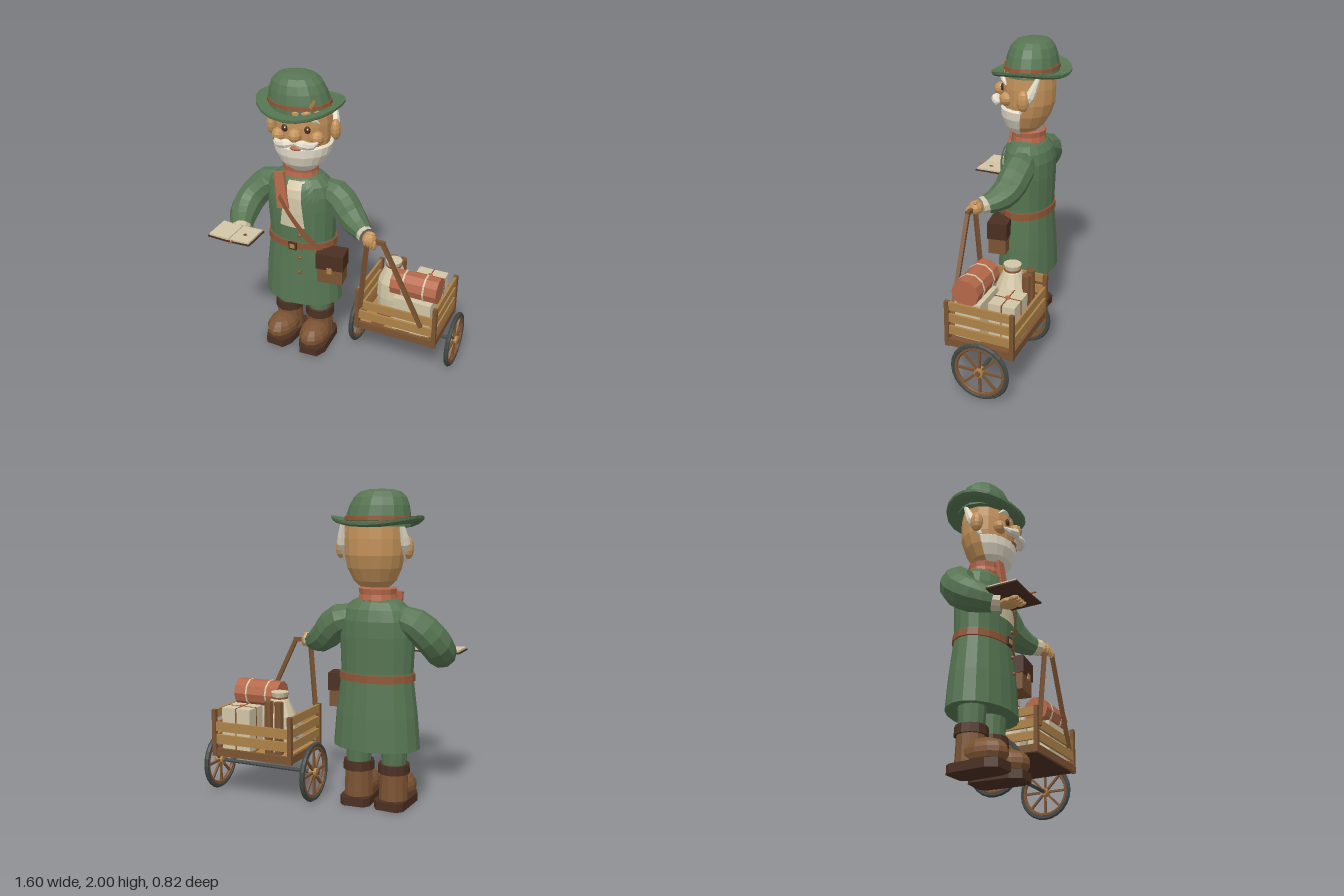
import * as THREE from 'three';

const mat = (name, color) => Object.assign(new THREE.MeshStandardMaterial({ color }), { name });
const M = {
  green: mat('coat green', 0x567552), terra: mat('terracotta', 0xb5684a), cream: mat('cream cloth', 0xd2c6a6),
  white: mat('white hair', 0xe4ddca), skin: mat('skin', 0xc4925a), wood: mat('light wood', 0xae8349),
  brown: mat('brown leather', 0x7b5332), dark: mat('dark brown', 0x4b2f22), iron: mat('iron', 0x414845),
  belt: mat('belt brown', 0x8d5535),
};
const V = (a) => new THREE.Vector3(...a);

// Faceted mesh added to a parent
function add(parent, name, geo, m, pos = [0, 0, 0], rot = [0, 0, 0], scale = [1, 1, 1]) {
  const g = geo.index ? geo.toNonIndexed() : geo;
  g.computeVertexNormals();
  const mesh = new THREE.Mesh(g, m);
  mesh.name = name;
  mesh.position.set(...pos); mesh.rotation.set(...rot); mesh.scale.set(...scale);
  parent.add(mesh);
  return mesh;
}
function group(parent, name, pos = [0, 0, 0], rot = [0, 0, 0]) {
  const g = new THREE.Group();
  g.name = name; g.position.set(...pos); g.rotation.set(...rot);
  parent.add(g);
  return g;
}
const box = (w, h, d) => new THREE.BoxGeometry(w, h, d);
const cyl = (r1, r2, h, n = 12) => new THREE.CylinderGeometry(r1, r2, h, n);
const ball = (r, n = 10) => new THREE.SphereGeometry(r, n, Math.max(6, n - 3));
const lathe = (pts, n = 16, start = 0, len = Math.PI * 2) =>
  new THREE.LatheGeometry(pts.map((p) => new THREE.Vector2(...p)), n, start, len);
function bend(geo, rule) {
  const p = geo.attributes.position, v = new THREE.Vector3();
  for (let i = 0; i < p.count; i++) { rule(v.fromBufferAttribute(p, i), i); p.setXYZ(i, v.x, v.y, v.z); }
  return geo;
}
// Tube along points with a radius that varies evenly through the list
function limb(pts, radii, sides = 10, segs = 8) {
  const curve = new THREE.CatmullRomCurve3(pts.map(V));
  return bend(new THREE.TubeGeometry(curve, segs, 1, sides), (v, i) => {
    const u = Math.floor(i / (sides + 1)) / segs, f = u * (radii.length - 1), k = Math.min(Math.floor(f), radii.length - 2);
    const c = curve.getPointAt(u);
    v.sub(c).multiplyScalar(radii[k] + (radii[k + 1] - radii[k]) * (f - k)).add(c);
  });
}
// Square bar between two points
function bar(parent, name, a, b, w, m) {
  const d = V(b).sub(V(a)), mesh = add(parent, name, box(w, d.length(), w), m);
  mesh.position.copy(V(a).addScaledVector(d, 0.5));
  mesh.quaternion.setFromUnitVectors(new THREE.Vector3(0, 1, 0), d.normalize());
}

// Coat outline: half width and height
const COAT = [[0.285, 0.39], [0.268, 0.6], [0.24, 0.82], [0.236, 0.88], [0.245, 1.1], [0.24, 1.2], [0.215, 1.27], [0.165, 1.315], [0.1, 1.345]];
const DEPTH = 0.69;
function coatZ(x, y, off) {
  let k = 0;
  while (k < COAT.length - 2 && COAT[k + 1][1] < y) k++;
  const [r0, y0] = COAT[k], [r1, y1] = COAT[k + 1], r = r0 + (r1 - r0) * (y - y0) / (y1 - y0);
  return DEPTH * Math.sqrt(Math.max(0, r * r - x * x)) + off;
}
// Thin four-cornered patch laid on the front of the coat, corners anticlockwise
function patch(c, off, n = 6) {
  const g = new THREE.PlaneGeometry(1, 1, n, n);
  return bend(g, (v) => {
    const u = v.x + 0.5, t = v.y + 0.5;
    const mix = (i) => (c[0][i] * (1 - u) + c[1][i] * u) * (1 - t) + (c[3][i] * (1 - u) + c[2][i] * u) * t;
    v.set(mix(0), mix(1), 0);
    v.z = coatZ(v.x, v.y, off);
  });
}

function buildBody(root) {
  const b = group(root, 'body', [-0.325, 0, -0.09]);
  add(b, 'coat', lathe([[0, 0.42], [0.26, 0.4], ...COAT, [0, 1.345]], 18), M.green, [0, 0, 0], [0, 0, 0], [1, 1, DEPTH]);
  add(b, 'belt', lathe([[0.235, 0.82], [0.25, 0.822], [0.247, 0.868], [0.23, 0.87]], 18), M.belt, [0, 0, 0], [0, 0, 0], [1, 1, DEPTH]);
  add(b, 'buckle', box(0.06, 0.055, 0.012), M.dark, [0.01, 0.845, 0.176]);
  add(b, 'bucklePlate', box(0.035, 0.03, 0.012), M.wood, [0.01, 0.845, 0.18]);
  add(b, 'shirt', patch([[-0.085, 0.985], [0.1, 0.985], [0.08, 1.31], [-0.03, 1.31]], 0.006), M.cream);
  add(b, 'rightLapel', patch([[-0.09, 0.985], [-0.025, 1.3], [-0.07, 1.315], [-0.18, 1.18]], 0.018), M.green);
  add(b, 'leftLapel', patch([[0.1, 0.985], [0.2, 1.18], [0.12, 1.315], [0.07, 1.3]], 0.018), M.green);
  add(b, 'strap', patch([[0.19, 0.79], [0.225, 0.8], [-0.125, 1.31], [-0.155, 1.295]], 0.026, 10), M.belt);
  for (const y of [0.93, 0.76, 0.65]) add(b, 'button', ball(0.013, 8), M.belt, [0.06, y, coatZ(0.06, y, 0.006)]);
  add(b, 'scarf', lathe([[0.1, 1.315], [0.125, 1.325], [0.118, 1.36], [0.124, 1.395], [0.1, 1.405]], 12), M.terra, [0, 0, 0.005], [0, 0, 0], [1, 1, 0.9]);
  add(b, 'scarfTail', bend(box(0.075, 0.25, 0.022), (v) => { v.x *= 1 - v.y; }), M.terra, [-0.065, 1.245, 0.165], [-0.1, 0, 0.14]);

  // Shoulder bag
  const bag = group(root, 'bag', [-0.06, 0.715, 0.01], [0, 0.15, 0]);
  add(bag, 'bagBody', box(0.175, 0.22, 0.12), M.brown);
  add(bag, 'bagFlap', box(0.19, 0.115, 0.135), M.dark, [0, 0.055, 0]);
  add(bag, 'bagClasp', box(0.035, 0.04, 0.012), M.wood, [0, -0.005, 0.07]);

  // Legs and boots
  for (const s of [-1, 1]) {
    const leg = group(root, s < 0 ? 'rightLeg' : 'leftLeg', [-0.325 + s * 0.12, 0, -0.09], [0, s * 0.06, 0]);
    add(leg, 'trouser', cyl(0.09, 0.078, 0.2), M.green, [0, 0.36, 0]);
    add(leg, 'bootCuff', cyl(0.1, 0.103, 0.058), M.dark, [0, 0.255, 0]);
    add(leg, 'bootShaft', cyl(0.088, 0.095, 0.2), M.brown, [0, 0.14, 0]);
    add(leg, 'bootFoot', ball(1, 12), M.brown, [0, 0.11, 0.095], [0, 0, 0], [0.105, 0.09, 0.155]);
    const sole = new THREE.Shape([[-0.07, -0.12], [0.07, -0.12], [0.1, -0.08], [0.1, 0.16], [0.065, 0.23], [-0.065, 0.23], [-0.1, 0.16], [-0.1, -0.08]].map((p) => new THREE.Vector2(p[0], -p[1])));
    add(leg, 'sole', new THREE.ExtrudeGeometry(sole, { depth: 0.055, bevelEnabled: false }), M.dark, [0, 0, 0], [-Math.PI / 2, 0, 0]);
  }
}

function buildArms(root) {
  const r = group(root, 'rightArm');
  add(r, 'sleeve', limb([[-0.46, 1.22, -0.11], [-0.58, 1.19, -0.12], [-0.69, 1.07, -0.06], [-0.7, 0.99, 0.05], [-0.65, 0.95, 0.17]], [0.07, 0.1, 0.105, 0.1, 0.07], 10, 9), M.green);
  add(r, 'cuff', limb([[-0.665, 0.955, 0.13], [-0.635, 0.945, 0.21]], [0.06, 0.055], 10, 2), M.cream);
  add(r, 'palm', ball(1), M.skin, [-0.62, 0.93, 0.25], [0, 0, 0], [0.055, 0.03, 0.06]);
  for (let i = 0; i < 4; i++) add(r, 'finger', ball(1, 8), M.skin, [-0.665 + i * 0.03, 0.932, 0.305], [0, 0, 0], [0.014, 0.016, 0.035]);

  const l = group(root, 'leftArm');
  add(l, 'sleeve', limb([[-0.2, 1.22, -0.11], [-0.07, 1.18, -0.11], [0.03, 1.08, -0.08], [0.1, 1.04, -0.04], [0.17, 1.02, 0.01]], [0.07, 0.105, 0.105, 0.09, 0.06], 10, 8), M.green);
  add(l, 'cuff', limb([[0.14, 1.025, -0.01], [0.2, 1.02, 0.035]], [0.06, 0.056], 10, 2), M.cream);
  add(l, 'palm', ball(0.048), M.skin, [0.225, 1.015, 0.055]);
  for (let i = 0; i < 4; i++) add(l, 'finger', ball(1, 8), M.skin, [0.21 + i * 0.021, 1.01 - i * 0.004, 0.085], [0, 0, 0], [0.013, 0.034, 0.022]);
  add(l, 'thumb', ball(1, 8), M.skin, [0.23, 1.055, 0.05], [0, 0, 0], [0.035, 0.014, 0.016]);

  // Open book
  const book = group(root, 'book', [-0.625, 0.965, 0.285]);
  for (const s of [-1, 1]) {
    add(book, 'cover', box(0.156, 0.009, 0.2), M.dark, [s * 0.077, 0.001, 0], [0, 0, s * 0.04]);
    add(book, 'pages', box(0.144, 0.013, 0.184), M.cream, [s * 0.075, 0.012, 0], [0, 0, s * 0.04]);
  }
  add(book, 'bookmark', box(0.012, 0.006, 0.05), M.terra, [0.025, 0.008, 0.105]);
  add(book, 'pageMark', cyl(0.016, 0.016, 0.003, 4), M.belt, [0.077, 0.022, 0.012]);
}

function buildHead(root) {
  const h = group(root, 'head', [-0.302, 0, -0.09], [0, 0.18, 0]);
  const jut = (v) => { v.z = v.z * 0.91 + 0.14 * Math.max(0, 1.6 - v.y); };
  add(h, 'skull', bend(lathe([[0, 1.385], [0.08, 1.39], [0.135, 1.44], [0.172, 1.52], [0.188, 1.6], [0.192, 1.7], [0.185, 1.8], [0.12, 1.88], [0, 1.9]], 16), jut), M.skin);
  add(h, 'beard', bend(lathe([[0, 1.375], [0.09, 1.382], [0.148, 1.435], [0.185, 1.5], [0.197, 1.555], [0.178, 1.57]], 10, -1.5, 3), jut), M.white);
  add(h, 'nose', ball(0.046), M.skin, [0, 1.66, 0.19]);
  add(h, 'mouth', ball(1, 8), M.terra, [0, 1.567, 0.18], [0, 0, 0], [0.04, 0.014, 0.018]);
  for (const s of [-1, 1]) {
    add(h, 'cheek', ball(0.046), M.skin, [s * 0.125, 1.63, 0.125]);
    add(h, 'eye', ball(1, 8), M.dark, [s * 0.073, 1.692, 0.162], [0, 0, 0], [0.021, 0.025, 0.014]);
    add(h, 'eyeGlint', ball(0.006, 6), M.white, [s * 0.073 + 0.006, 1.701, 0.176]);
    add(h, 'moustache', limb([[0, 1.615, 0.2], [s * 0.05, 1.612, 0.212], [s * 0.105, 1.598, 0.19], [s * 0.148, 1.622, 0.15]], [0.016, 0.031, 0.024, 0.002], 8, 6), M.white);
    add(h, 'brow', limb([[s * 0.06, 1.748, 0.165], [s * 0.1, 1.762, 0.155], [s * 0.145, 1.725, 0.125]], [0.003, 0.02, 0.003], 7, 5), M.white);
    add(h, 'ear', ball(1), M.skin, [s * 0.212, 1.645, 0], [0, 0, 0], [0.034, 0.07, 0.042]);
    add(h, 'sideburn', limb([[s * 0.182, 1.79, -0.09], [s * 0.195, 1.68, -0.045], [s * 0.19, 1.56, 0.02]], [0.014, 0.034, 0.012], 8, 6), M.white);
  }

  // Hat
  const hat = group(root, 'hat', [-0.322, 0, -0.095]);
  const lean = (v) => { v.x -= 0.1 * (v.y - 1.77); };
  add(hat, 'crown', bend(lathe([[0.212, 1.775], [0.203, 1.84], [0.188, 1.9], [0.165, 1.95], [0.13, 1.983], [0.07, 1.998], [0, 2]], 16), lean), M.green, [0, 0, 0], [0, 0, 0], [1, 1, 0.84]);
  add(hat, 'band', bend(lathe([[0.207, 1.81], [0.214, 1.812], [0.211, 1.835], [0.202, 1.837]], 16), lean), M.belt, [0, 0, 0], [0, 0, 0], [1, 1, 0.84]);
  add(hat, 'brim', bend(lathe([[0, 0], [0.19, 0], [0.27, 0], [0.288, 0.01], [0.29, 0.026], [0.272, 0.024], [0.2, 0.024]], 20), (v) => {
    v.y += 1.763 + 0.6 * v.x * v.x - 0.04 * v.z;
    v.z *= 0.885;
  }), M.green);
  add(hat, 'feather', box(0.016, 0.055, 0.008), M.wood, [0.145, 1.855, 0.125], [0, 0.7, -0.5]);
}

function buildCart(root) {
  const c = group(root, 'cart');
  const x0 = 0.14, x1 = 0.69, z0 = -0.395, z1 = 0.035, cx = (x0 + x1) / 2, cz = (z0 + z1) / 2;
  for (let i = 0; i < 6; i++) add(c, 'floorPlank', box(0.089, 0.02, 0.42), i % 2 ? M.brown : M.wood, [x0 + 0.046 + i * 0.0917, 0.315, cz]);
  add(c, 'underside', box(0.54, 0.025, 0.42), M.dark, [cx, 0.293, cz]);
  for (const x of [x0, x1]) for (const z of [z0, z1]) add(c, 'cornerPost', box(0.028, 0.31, 0.028), M.brown, [x, 0.435, z]);
  for (const z of [z0, z1]) {
    for (const y of [0.395, 0.478]) add(c, 'longSlat', box(0.55, 0.062, 0.016), M.wood, [cx, y, z]);
    add(c, 'longRail', box(0.57, 0.05, 0.022), M.brown, [cx, 0.308, z]);
  }
  for (const x of [x0, x1]) {
    for (const y of [0.395, 0.478, 0.56]) add(c, 'endSlat', box(0.016, 0.056, 0.43), M.wood, [x, y, cz]);
    add(c, 'endRail', box(0.022, 0.05, 0.44), M.brown, [x, 0.308, cz]);
  }

  // Axle and spoked wheels
  const Q = Math.PI / 2;
  add(c, 'axle', cyl(0.013, 0.013, 0.72, 8), M.iron, [0.41, 0.195, -0.215], [0, 0, Q]);
  for (const x of [0.06, 0.762]) {
    const w = group(c, 'wheel', [x, 0.195, -0.215], [0, Q, 0]);
    add(w, 'tyre', new THREE.TorusGeometry(0.178, 0.016, 6, 24), M.iron);
    add(w, 'rim', new THREE.TorusGeometry(0.159, 0.013, 6, 24), M.brown);
    add(w, 'hub', cyl(0.028, 0.028, 0.05, 10), M.wood, [0, 0, 0], [Q, 0, 0]);
    add(w, 'hubCap', cyl(0.017, 0.017, 0.07, 8), M.brown, [0, 0, 0], [Q, 0, 0]);
    for (let i = 0; i < 8; i++) {
      const a = i * Math.PI / 4;
      add(w, 'spoke', box(0.014, 0.15, 0.014), M.brown, [-Math.sin(a) * 0.085, Math.cos(a) * 0.085, 0], [0, 0, a]);
    }
  }

  // Pull handle
  bar(c, 'handleGrip', [0.19, 1.015, 0.065], [0.335, 1.012, 0.065], 0.026, M.brown);
  bar(c, 'handleShaft', [0.215, 1.01, 0.065], [0.162, 0.46, 0.045], 0.026, M.brown);
  bar(c, 'handleShaft', [0.32, 1.015, 0.065], [0.6, 0.43, 0.05], 0.026, M.brown);

  // Cargo
  const load = group(c, 'cargo');
  add(load, 'bedroll', cyl(0.09, 0.09, 0.32, 10), M.terra, [0.515, 0.655, -0.08], [0, 0, Q]);
  for (const x of [0.44, 0.585]) add(load, 'rollStrap', cyl(0.0935, 0.0935, 0.012, 10), M.cream, [x, 0.655, -0.08], [0, 0, Q]);
  add(load, 'lowerParcel', box(0.26, 0.25, 0.17), M.cream, [0.515, 0.45, -0.08]);
  add(load, 'parcel', box(0.205, 0.28, 0.17), M.cream, [0.535, 0.465, -0.302]);
  add(load, 'parcelString', box(0.209, 0.284, 0.008), M.belt, [0.535, 0.465, -0.302]);
  add(load, 'parcelString', box(0.008, 0.284, 0.174), M.belt, [0.535, 0.465, -0.302]);
  add(load, 'seal', cyl(0.018, 0.018, 0.008, 8), M.terra, [0.535, 0.61, -0.302]);
  add(load, 'sack', lathe([[0, 0.325], [0.1, 0.33], [0.112, 0.45], [0.105, 0.56], [0.06, 0.66], [0.048, 0.675], [0.058, 0.71], [0, 0.712]], 12), M.cream, [0.295, 0, -0.23]);
  add(load, 'sackTie', cyl(0.054, 0.054, 0.014, 12), M.belt, [0.295, 0.672, -0.23]);
  for (const x of [0.248, 0.32]) add(load, 'scroll', cyl(0.03, 0.03, 0.34, 8), M.brown, [x, 0.495, -0.335]);
}

export function createModel() {
  const root = new THREE.Group();
  root.name = 'travellerWithCart';
  buildBody(root);
  buildArms(root);
  buildHead(root);
  buildCart(root);
  return root;
}
